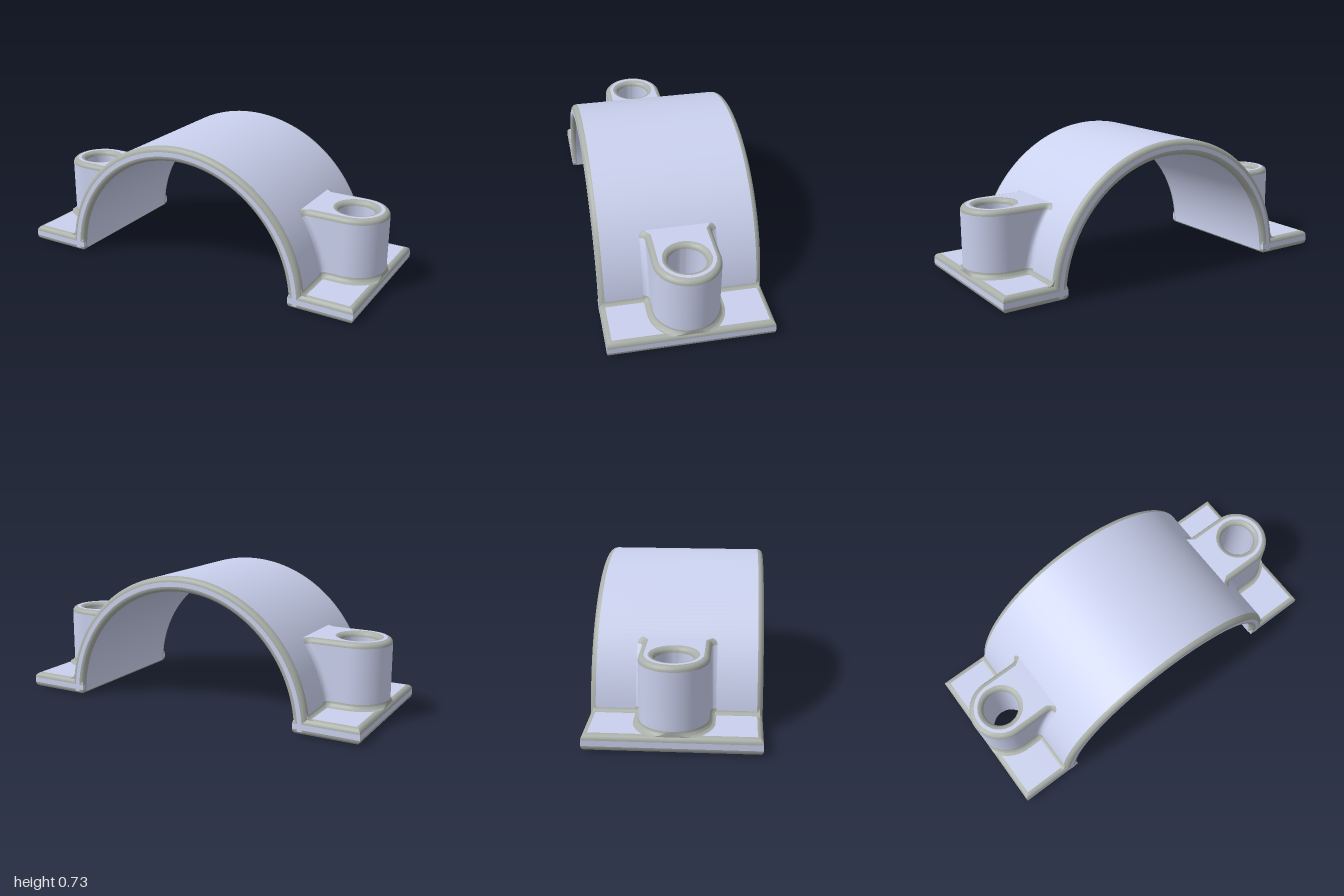
import * as THREE from 'three';
import { toCreasedNormals } from 'three/addons/utils/BufferGeometryUtils.js';

const R = 0.73, r = 0.65, HALF = 0.425, F = 0.028; // arch radii, half depth, fillet radius
const PLATE = 0.085, BOSS = 0.43, CX = 0.83, BORE = 0.095, W = 0.17;
const body = new THREE.MeshStandardMaterial({ color: 0xcad1ee });
const fillet = new THREE.MeshStandardMaterial({ color: 0xa9aea8 });

const range = (n, fn) => Array.from({ length: n + 1 }, (_, i) => fn(i / n));
const quarter = fn => range(6, t => fn(Math.sin(t * Math.PI / 2), Math.cos(t * Math.PI / 2)));

function add(parent, name, geometry, material) {
  const mesh = new THREE.Mesh(geometry, material);
  mesh.name = name;
  parent.add(mesh);
}

// Skin closed rings of equal point count, listed upwards on the outside
function loft(rings) {
  const n = rings[0].length, index = [];
  for (let i = 0; i < rings.length - 1; i++) {
    for (let j = 0; j < n; j++) {
      const a = i * n + j, c = i * n + (j + 1) % n;
      index.push(a, a + n, c, a + n, c + n, c);
    }
  }
  const g = new THREE.BufferGeometry();
  g.setAttribute('position', new THREE.Float32BufferAttribute(
    rings.flat().flatMap(p => [p.x, p.y, p.z]), 3));
  g.setIndex(index);
  return toCreasedNormals(g, 0.6);
}

// Circle whose points face those of a given ring
function bore(ring, radius, y) {
  return ring.map(p => {
    const a = Math.atan2(p.z, p.x - CX);
    return new THREE.Vector3(CX + radius * Math.cos(a), y, radius * Math.sin(a));
  });
}

// U-shaped boss outline, its inner end following the arch and flaring into it
function bossRing(inset, y) {
  const w = W - inset, s = Math.sqrt(R * R - y * y), inner = Math.sqrt(0.69 * 0.69 - y * y);
  const side = [0.2, 0.4, 0.6, 0.75, 0.85, 0.92, 0.97, 1].map(t => {
    const x = CX + (s - CX) * t, e = F - Math.min(x - s, F);
    return [x, w + F - Math.sqrt(Math.max(F * F - e * e, 0))];
  });
  const end = w + F;
  const pts = [
    ...range(32, t => {
      const a = (t - 0.5) * Math.PI;
      return [CX + w * Math.cos(a), w * Math.sin(a)];
    }),
    ...side,
    ...range(12, t => [inner, end * (1 - 2 * t)]),
    ...side.slice().reverse().map(([x, z]) => [x, -z]),
  ];
  return pts.map(([x, z]) => new THREE.Vector3(Math.min(x, 1), y, z));
}

// Rectangular flange outline
function plateRing(inset, y) {
  const x0 = r + inset, x1 = 1 - inset, z = HALF - inset;
  const corners = [[x1, -z], [x1, z], [x0, z], [x0, -z]];
  return corners.flatMap((p, i) => {
    const q = corners[(i + 1) % 4];
    return range(12, t => new THREE.Vector3(
      p[0] + (q[0] - p[0]) * t, y, p[1] + (q[1] - p[1]) * t)).slice(0, 12);
  });
}

function makeArch() {
  const arch = new THREE.Group();
  arch.name = 'arch';
  const sweep = (name, pts, material) => {
    const g = new THREE.LatheGeometry(pts.map(p => new THREE.Vector2(...p)), 96,
      Math.PI / 2 + 0.025, Math.PI - 0.05);
    add(arch, name, g.rotateX(Math.PI / 2), material);
  };
  const h = HALF - F;
  sweep('archOuter', [[R, -h], [R, h]], body);
  sweep('archFront', [[R - F, HALF], [r + F, HALF]], body);
  sweep('archInner', [[r, h], [r, -h]], body);
  sweep('archBack', [[r + F, -HALF], [R - F, -HALF]], body);
  // Rounded edges, counterclockwise round the section
  [[R - F, h], [r + F, h], [r + F, -h], [R - F, -h]].forEach(([cr, cz], i) => {
    sweep('archEdge', range(6, t => {
      const a = (i + t) * Math.PI / 2;
      return [cr + F * Math.cos(a), cz + F * Math.sin(a)];
    }), fillet);
  });
  return arch;
}

function makeFoot() {
  const foot = new THREE.Group();

  // Flange plate with rounded edges and a hole hidden by the boss
  const low = plateRing(F, 0), high = plateRing(F, PLATE);
  add(foot, 'flangeBottom', loft([bore(low, 0.11, 0), low]), body);
  add(foot, 'flangeLowerEdge', loft(quarter((s, c) => plateRing(F * (1 - s), F * (1 - c)))), fillet);
  add(foot, 'flangeWall', loft([plateRing(0, F), plateRing(0, PLATE - F)]), body);
  add(foot, 'flangeUpperEdge',
    loft(quarter((s, c) => plateRing(F * (1 - c), PLATE - F + F * s))), fillet);
  add(foot, 'flangeTop', loft([high, bore(high, 0.11, PLATE)]), body);

  // Screw boss
  const top = bossRing(F, BOSS), bottom = bossRing(F, 0);
  add(foot, 'bossBaseFillet',
    loft(quarter((s, c) => bossRing(-F + F * s, PLATE + F - F * c))), fillet);
  add(foot, 'bossWall',
    loft(range(12, t => bossRing(0, PLATE + F + (BOSS - PLATE - 2 * F) * t))), body);
  add(foot, 'bossTopEdge',
    loft(quarter((s, c) => bossRing(F * (1 - c), BOSS - F + F * s))), fillet);
  add(foot, 'bossTop', loft([top, bore(top, BORE + F, BOSS)]), body);
  add(foot, 'boreEdge',
    loft(quarter((s, c) => bore(top, BORE + F - F * s, BOSS - F + F * c))), fillet);
  add(foot, 'bore', loft([bore(top, BORE, BOSS - F), bore(top, BORE, 0)]), body);
  add(foot, 'bossBottom', loft([bore(bottom, BORE, 0), bottom]), body);

  // Concave fillets between arch and flange, either side of the boss
  const s = new THREE.Shape();
  s.moveTo(0.7, 0.07);
  s.lineTo(0.755, PLATE - 0.003);
  s.quadraticCurveTo(0.725, PLATE, 0.719, PLATE + F);
  s.lineTo(0.7, PLATE + F);
  for (const z of [0.15, -HALF + F / 2]) {
    const g = new THREE.ExtrudeGeometry(s,
      { depth: HALF - F / 2 - 0.15, bevelEnabled: false, curveSegments: 8 });
    add(foot, 'archFootFillet', toCreasedNormals(g.translate(0, 0, z), 0.6), fillet);
  }
  return foot;
}

export function createModel() {
  const model = new THREE.Group();
  model.name = 'pipeClamp';
  model.add(makeArch());
  ['leftFoot', 'rightFoot'].forEach((name, i) => {
    const foot = makeFoot();
    foot.name = name;
    foot.rotation.y = i * Math.PI;
    model.add(foot);
  });
  return model;
}
